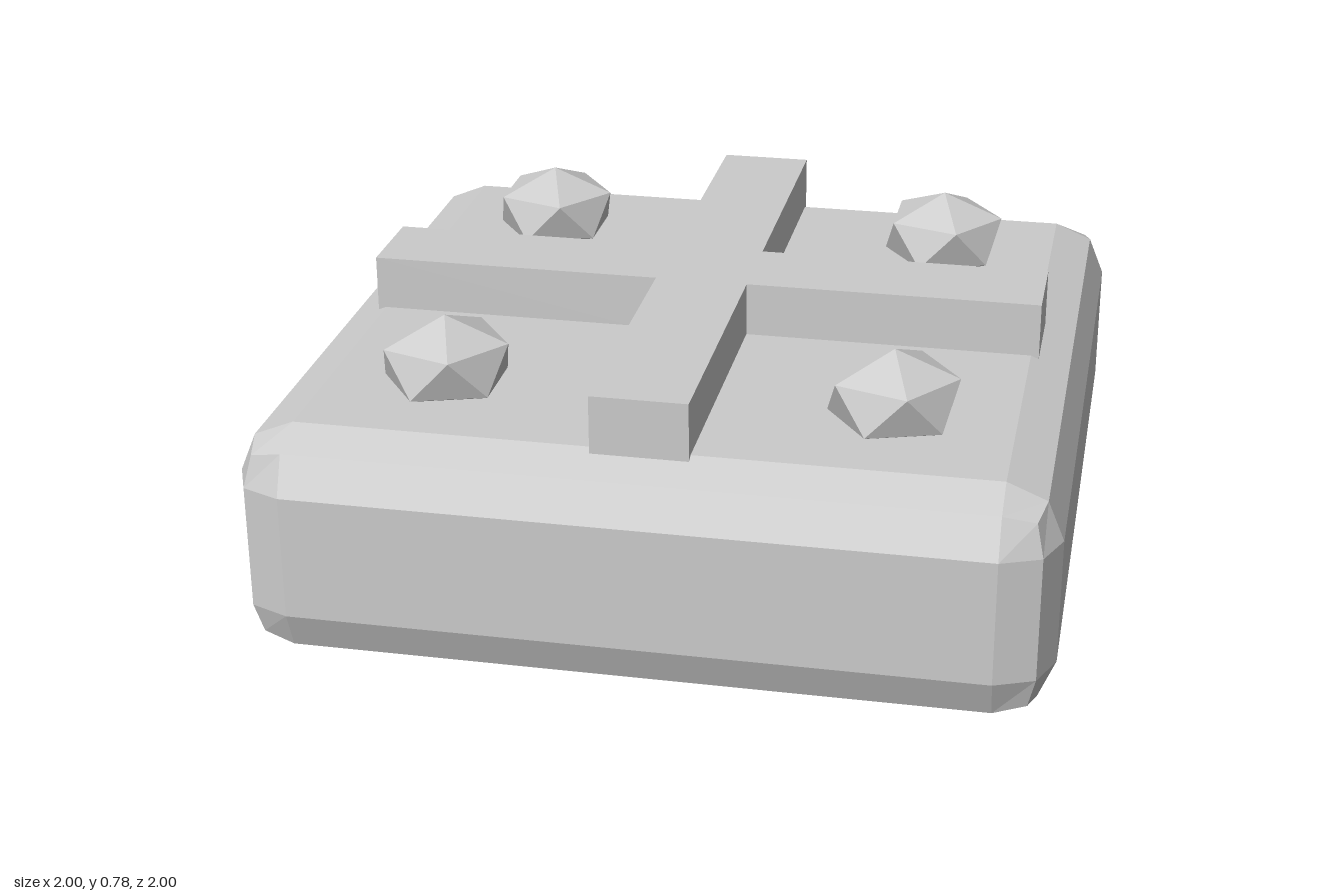
import * as THREE from 'three';
import { RoundedBoxGeometry } from 'three/addons/geometries/RoundedBoxGeometry.js';

export function createModel() {
  const model = new THREE.Group();
  model.name = 'studdedBlock';
  const material = new THREE.MeshStandardMaterial({ color: 0xcccccc, flatShading: true });

  function addPart(name, geometry, x, y, z) {
    const mesh = new THREE.Mesh(geometry, material);
    mesh.name = name;
    mesh.position.set(x, y, z);
    model.add(mesh);
    return mesh;
  }

  // Square slab with two-step bevels on every edge
  addPart('body', new RoundedBoxGeometry(2, 0.6, 2, 1, 0.14), 0, 0.3, 0);

  // Raised cross, one outline extruded upwards and sunk slightly into the slab
  const long = 0.88, half = 0.12, bottom = 0.585, top = 0.74;
  const outline = [];
  for (let i = 0; i < 4; i++) {
    const turn = i * Math.PI / 2;
    for (const [x, y] of [[long, -half], [long, half], [half, half]]) {
      outline.push(new THREE.Vector2(x, y).rotateAround(new THREE.Vector2(), turn));
    }
  }
  const cross = new THREE.ExtrudeGeometry(new THREE.Shape(outline), { depth: top - bottom, bevelEnabled: false });
  cross.rotateX(-Math.PI / 2);
  addPart('cross', cross, 0, bottom, 0);

  // Flattened icosahedral studs, one point upwards
  const stud = new THREE.IcosahedronGeometry(0.18, 0);
  stud.rotateZ(-Math.atan(2 / (1 + Math.sqrt(5))));
  stud.scale(1, 0.66, 1);
  for (const [sx, side] of [[1, 'Left'], [-1, 'Right']]) {
    for (const [sz, end] of [[1, 'front'], [-1, 'back']]) {
      addPart(`${end}${side}Stud`, stud, sx * 0.56, 0.662, sz * 0.56);
    }
  }

  return model;
}
